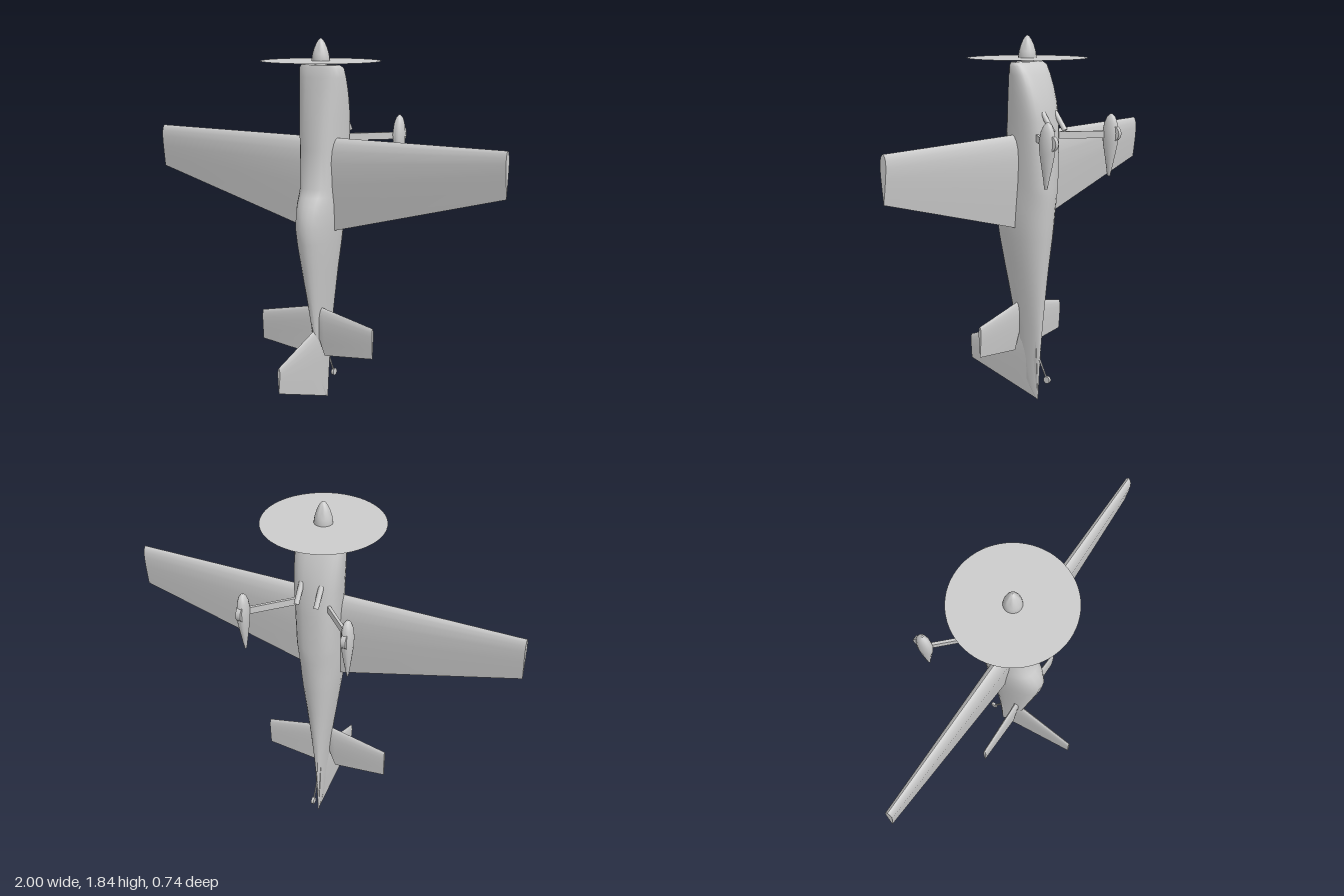
import * as THREE from 'three';
import { mergeVertices, toCreasedNormals } from 'three/addons/utils/BufferGeometryUtils.js';

const grey = new THREE.MeshStandardMaterial({ color: 0xcccccc });
const greyDouble = new THREE.MeshStandardMaterial({ color: 0xcccccc, side: THREE.DoubleSide });
const v = (x, y, z) => new THREE.Vector3(x, y, z);

function add(parent, name, geometry, material = grey) {
  const mesh = new THREE.Mesh(geometry, material);
  mesh.name = name;
  parent.add(mesh);
  return mesh;
}

// Closed skin through rings of equal point count, with capped ends
function loft(rings, crease = 0.6) {
  const n = rings[0].length, pos = [], idx = [];
  rings.forEach(r => r.forEach(p => pos.push(p.x, p.y, p.z)));
  for (let i = 0; i < rings.length - 1; i++) {
    for (let j = 0; j < n; j++) {
      const a = i * n + j, b = i * n + (j + 1) % n;
      idx.push(a, b, a + n, b, b + n, a + n);
    }
  }
  [0, rings.length - 1].forEach((r, end) => {
    const c = rings[r].reduce((s, p) => s.add(p), v(0, 0, 0)).divideScalar(n);
    const k = pos.length / 3;
    pos.push(c.x, c.y, c.z);
    for (let j = 0; j < n; j++) {
      const a = r * n + j, b = r * n + (j + 1) % n;
      if (end) idx.push(k, a, b); else idx.push(k, b, a);
    }
  });
  // Turn the faces outward if the enclosed volume comes out negative
  const pt = i => v(pos[3 * i], pos[3 * i + 1], pos[3 * i + 2]);
  let volume = 0;
  for (let i = 0; i < idx.length; i += 3) volume += pt(idx[i]).dot(pt(idx[i + 1]).cross(pt(idx[i + 2])));
  if (volume < 0) idx.reverse();
  const g = new THREE.BufferGeometry();
  g.setAttribute('position', new THREE.Float32BufferAttribute(pos, 3));
  g.setIndex(idx);
  return toCreasedNormals(mergeVertices(g), crease);
}

// Symmetric aerofoil outline as [chord fraction, thickness fraction]
const half = [[0.015, 0.32], [0.06, 0.65], [0.14, 0.9], [0.27, 1], [0.5, 0.76], [0.75, 0.4]];
const foil = [[0, 0], ...half, [1, 0.02], ...half.map(([c, t]) => [c, -t]).reverse()];

// Ring of aerofoil points; place() puts (chord position, thickness) in space
const foilRing = (lead, trail, t, place) =>
  foil.map(([c, s]) => place(lead + (trail - lead) * c, s * t));

// Mirrored surface from half-span sections [x, leading y, trailing y, half thickness]
function wingGeometry(sections, z) {
  const full = [...sections.slice(1).reverse().map(([x, ...r]) => [-x, ...r]), ...sections];
  return loft(full.map(([x, lead, trail, t]) => foilRing(lead, trail, t, (y, d) => v(x, y, z + d))));
}

// Round bar between two points
function bar(a, b, r0, r1, sides = 10) {
  const dir = b.clone().sub(a);
  const g = new THREE.CylinderGeometry(r1, r0, dir.length(), sides);
  g.applyQuaternion(new THREE.Quaternion().setFromUnitVectors(v(0, 1, 0), dir.clone().normalize()));
  return g.translate(...a.clone().add(b).multiplyScalar(0.5).toArray());
}

// Fuselage stations: y, half width, upper z, lower z, squareness
const stations = [
  [1.71, 0.105, 0.05, -0.035, 2.6],
  [1.695, 0.118, 0.056, -0.06, 2.6],
  [1.65, 0.12, 0.064, -0.085, 2.6],
  [1.59, 0.12, 0.072, -0.11, 2.6],
  [1.52, 0.118, 0.081, -0.132, 2.6],
  [1.43, 0.113, 0.09, -0.15, 2.6],
  [1.3, 0.106, 0.1, -0.157, 2.6],
  [1.11, 0.099, 0.106, -0.157, 2.6],
  [1.07, 0.098, 0.13, -0.157, 2.4],
  [1.03, 0.097, 0.152, -0.155, 2.3],
  [0.98, 0.095, 0.168, -0.151, 2.2],
  [0.92, 0.091, 0.176, -0.147, 2.2],
  [0.84, 0.083, 0.165, -0.139, 2.2],
  [0.7, 0.065, 0.137, -0.122, 2.2],
  [0.54, 0.044, 0.103, -0.107, 2.2],
  [0.38, 0.026, 0.07, -0.092, 2.2],
  [0.25, 0.015, 0.05, -0.083, 2],
  [0.1, 0.007, 0.02, -0.074, 2],
  [0.0, 0.002, -0.058, -0.068, 2],
];

function fuselageGeometry() {
  const sides = 24;
  return loft(stations.map(([y, w, top, bottom, n]) => {
    const mid = top * 0.4 + bottom * 0.6, ring = [];
    for (let i = 0; i < sides; i++) {
      const a = i / sides * Math.PI * 2, c = Math.cos(a), s = Math.sin(a);
      const bend = u => Math.sign(u) * Math.pow(Math.abs(u), 2 / n);
      ring.push(v(w * bend(c), y, mid + bend(s) * (s > 0 ? top - mid : mid - bottom)));
    }
    return ring;
  }), 0.7);
}

// Teardrop wheel fairing: y, half width, centre z, half depth
function fairingGeometry() {
  const rows = [
    [1.455, 0.004, -0.318, 0.006], [1.44, 0.016, -0.318, 0.023], [1.41, 0.024, -0.316, 0.036],
    [1.36, 0.028, -0.314, 0.045], [1.31, 0.026, -0.314, 0.041], [1.24, 0.018, -0.312, 0.027],
    [1.18, 0.009, -0.309, 0.015], [1.145, 0.003, -0.307, 0.009],
  ];
  return loft(rows.map(([y, w, z, d]) => Array.from({ length: 14 }, (_, i) => {
    const a = i / 14 * Math.PI * 2;
    return v(w * Math.cos(a), y, z + d * Math.sin(a));
  })), 0.8);
}

export function createModel() {
  const model = new THREE.Group();
  model.name = 'aeroplane';

  add(model, 'fuselage', fuselageGeometry());
  add(model, 'wing', wingGeometry([[0, 1.36, 0.875, 0.036], [1, 1.36, 1.14, 0.018]], 0.01));
  add(model, 'tailplane', wingGeometry(
    [[0, 0.51, 0.37, 0.013], [0.02, 0.506, 0.33, 0.013], [0.05, 0.5, 0.255, 0.012], [0.33, 0.44, 0.285, 0.008]], 0.04));

  // Fin and rudder
  const fin = [[-0.066, 0.42, 0, 0.016], [0.07, 0.38, 0.044, 0.014], [0.37, 0.27, 0.14, 0.007]];
  add(model, 'fin', loft(fin.map(([z, lead, trail, t]) => foilRing(lead, trail, t, (y, d) => v(d, y, z)))));

  // Spinner with its shaft and the disc swept by the propeller
  const profile = [[0, 1.717], [0.042, 1.717], [0.045, 1.73], [0.041, 1.76], [0.032, 1.79], [0.02, 1.817], [0.009, 1.832], [0, 1.838]];
  add(model, 'spinner', toCreasedNormals(
    new THREE.LatheGeometry(profile.map(([x, y]) => new THREE.Vector2(x, y)), 20), 0.7));
  add(model, 'propellerShaft', new THREE.CylinderGeometry(0.032, 0.032, 0.03, 16).translate(0, 1.712, 0));
  add(model, 'propellerDisc', new THREE.CircleGeometry(0.295, 64).rotateX(-Math.PI / 2).translate(0, 1.728, 0), greyDouble);

  // Main landing gear and exhausts
  for (const side of [1, -1]) {
    const gear = new THREE.Group();
    gear.name = side > 0 ? 'leftGear' : 'rightGear';
    model.add(gear);
    const leg = new THREE.BoxGeometry(0.26, 0.035, 0.014);
    leg.rotateY(side * Math.PI / 4).translate(side * 0.165, 1.352, -0.205);
    add(gear, 'gearLeg', leg);
    add(gear, 'wheelFairing', fairingGeometry().translate(side * 0.264, 0, 0));
    add(gear, 'wheel', new THREE.CylinderGeometry(0.04, 0.04, 0.024, 20)
      .rotateZ(Math.PI / 2).translate(side * 0.264, 1.358, -0.331));
    add(model, 'exhaustPipe', bar(v(side * 0.05, 1.47, -0.13), v(side * 0.05, 1.382, -0.192), 0.013, 0.013));
  }

  // Tail wheel
  add(model, 'tailWheelStrut', bar(v(0, 0.23, -0.07), v(0, 0.118, -0.124), 0.005, 0.004, 8));
  add(model, 'tailWheel', new THREE.CylinderGeometry(0.018, 0.018, 0.014, 16)
    .rotateZ(Math.PI / 2).translate(0, 0.116, -0.126));

  return model;
}
